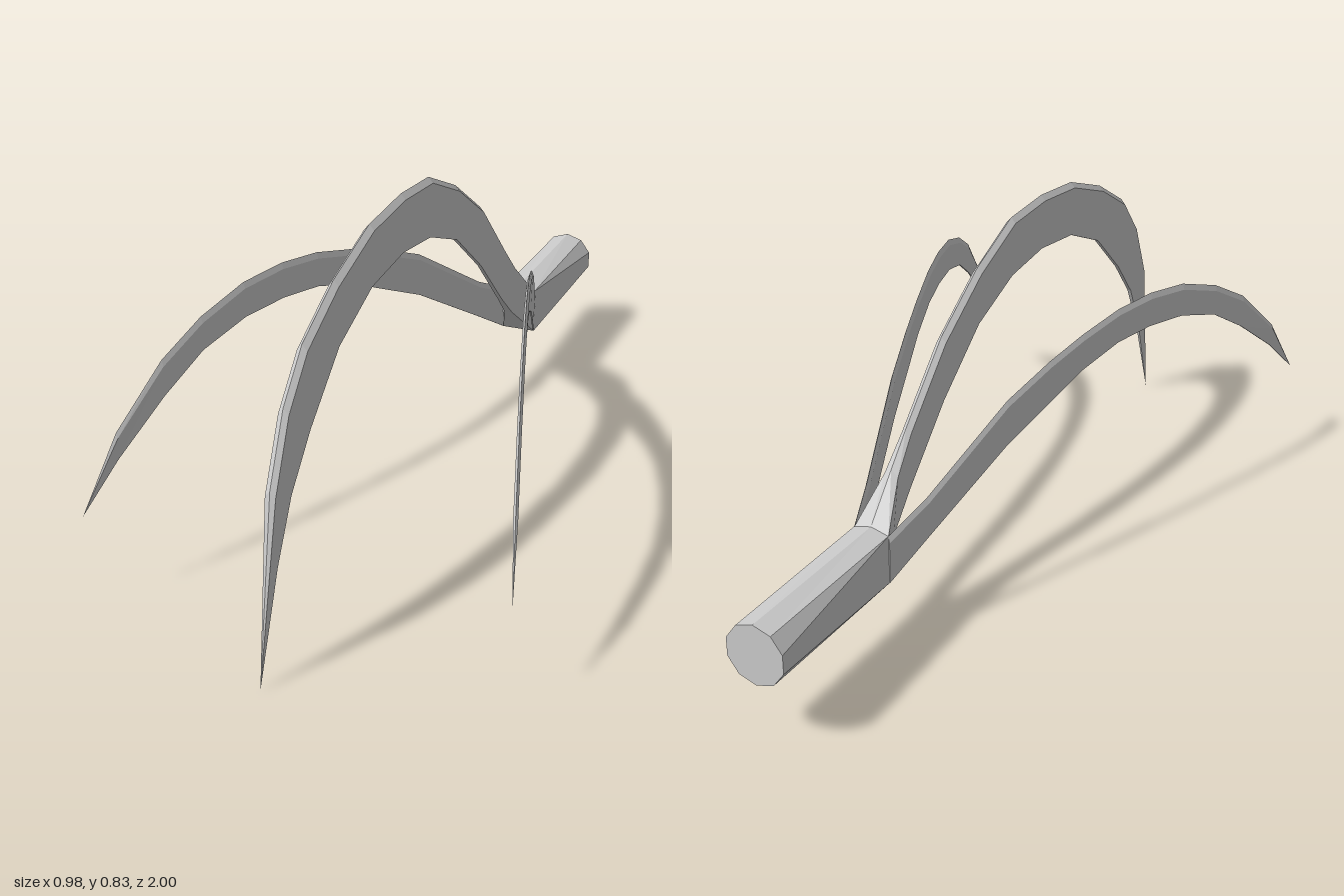
import * as THREE from 'three';

const material = new THREE.MeshStandardMaterial({ color: 0xcccccc, flatShading: true, side: THREE.DoubleSide });

// Skin a row of equal-length cross-sections (counter-clockwise seen from +z), with end caps
function loft(name, sections) {
  const n = sections[0].length;
  const index = [];
  for (let s = 0; s < sections.length - 1; s++) {
    for (let i = 0; i < n; i++) {
      const a = s * n + i, b = s * n + (i + 1) % n;
      index.push(a, b, a + n, b, b + n, a + n);
    }
  }
  const last = (sections.length - 1) * n;
  for (let i = 1; i < n - 1; i++) {
    index.push(0, i + 1, i, last, last + i, last + i + 1);
  }
  const indexed = new THREE.BufferGeometry();
  indexed.setAttribute('position', new THREE.Float32BufferAttribute(sections.flat(2), 3));
  indexed.setIndex(index);
  const geometry = indexed.toNonIndexed();
  geometry.computeVertexNormals();
  const mesh = new THREE.Mesh(geometry, material);
  mesh.name = name;
  return mesh;
}

// Curved blade with a ridged back; row = [back z, back y, inner z, inner y, half width, inner half width]
function blade(name, rows, drop) {
  return loft(name, rows.map(([tz, ty, bz, by, w, bw]) => {
    const k = Math.min(1, Math.hypot(tz - bz, ty - by) / 0.08);
    // the shoulder sits a little way from the ridge towards the inner edge
    const len = Math.hypot(tz - bz, ty - by) || 1;
    const sz = tz + (bz - tz) / len * drop * k;
    const sy = ty + (by - ty) / len * drop * k;
    return [[bw, by, bz], [w, sy, sz], [0, ty, tz], [-w, sy, sz], [-bw, by, bz]];
  }));
}

export function createModel() {
  const group = new THREE.Group();

  // Handle: ten-sided at the back, squared off where the claws join
  const back = [], front = [];
  for (let i = 0; i < 10; i++) {
    const a = THREE.MathUtils.degToRad(-90 + i * 36);
    const c = Math.cos(a), s = Math.sin(a);
    back.push([0.073 * c, 0.228 + 0.073 * s, -1]);
    const middle = Math.abs(c) < 0.01;
    front.push([
      middle ? 0 : 0.045 * Math.sign(c),
      s > 0 ? (middle ? 0.3 : 0.288) : 0.168,
      -0.56,
    ]);
  }
  group.add(loft('handle', [back, front]));

  // Tall middle claw, flared where it meets the handle
  group.add(blade('middleClaw', [
    [-0.56, 0.3, -0.56, 0.168, 0.045, 0.045],
    [-0.47, 0.4, -0.47, 0.255, 0.018, 0.011],
    [-0.4, 0.476, -0.4, 0.32, 0.012, 0.006],
    [-0.24, 0.635, -0.24, 0.475, 0.012, 0.005],
    [-0.07, 0.745, -0.07, 0.605, 0.012, 0.005],
    [0.1, 0.818, 0.1, 0.67, 0.012, 0.005],
    [0.26, 0.828, 0.26, 0.688, 0.012, 0.005],
    [0.43, 0.813, 0.43, 0.67, 0.012, 0.005],
    [0.61, 0.752, 0.6, 0.6, 0.012, 0.005],
    [0.76, 0.67, 0.745, 0.475, 0.012, 0.005],
    [0.85, 0.57, 0.84, 0.37, 0.012, 0.005],
    [0.92, 0.42, 0.91, 0.24, 0.012, 0.004],
    [1, 0, 1, 0, 0, 0],
  ], 0.014));

  // Side claws: thin blades splayed outwards; profile = [x, back y, inner y]
  const angle = Math.atan2(0.445, 1.425);
  const profile = [
    [0.045, 0.287, 0.168], [0.08, 0.34, 0.237], [0.155, 0.495, 0.382],
    [0.197, 0.55, 0.443], [0.23, 0.584, 0.492], [0.268, 0.613, 0.526],
    [0.303, 0.622, 0.534], [0.34, 0.612, 0.526], [0.38, 0.571, 0.49],
    [0.416, 0.508, 0.421], [0.458, 0.385, 0.322], [0.49, 0.226, 0.226],
  ];
  for (const side of [1, -1]) {
    const rows = profile.map(([x, top, bottom], i) => {
      const u = (x - 0.045) / Math.sin(angle);
      const w = i === profile.length - 1 ? 0 : 0.005;
      return [u, top, u, bottom, w, w * 0.4];
    });
    const claw = blade(side > 0 ? 'leftClaw' : 'rightClaw', rows, 0.015);
    claw.position.set(side * 0.044, 0, -0.56);
    claw.rotation.y = side * angle;
    group.add(claw);
  }
  return group;
}
